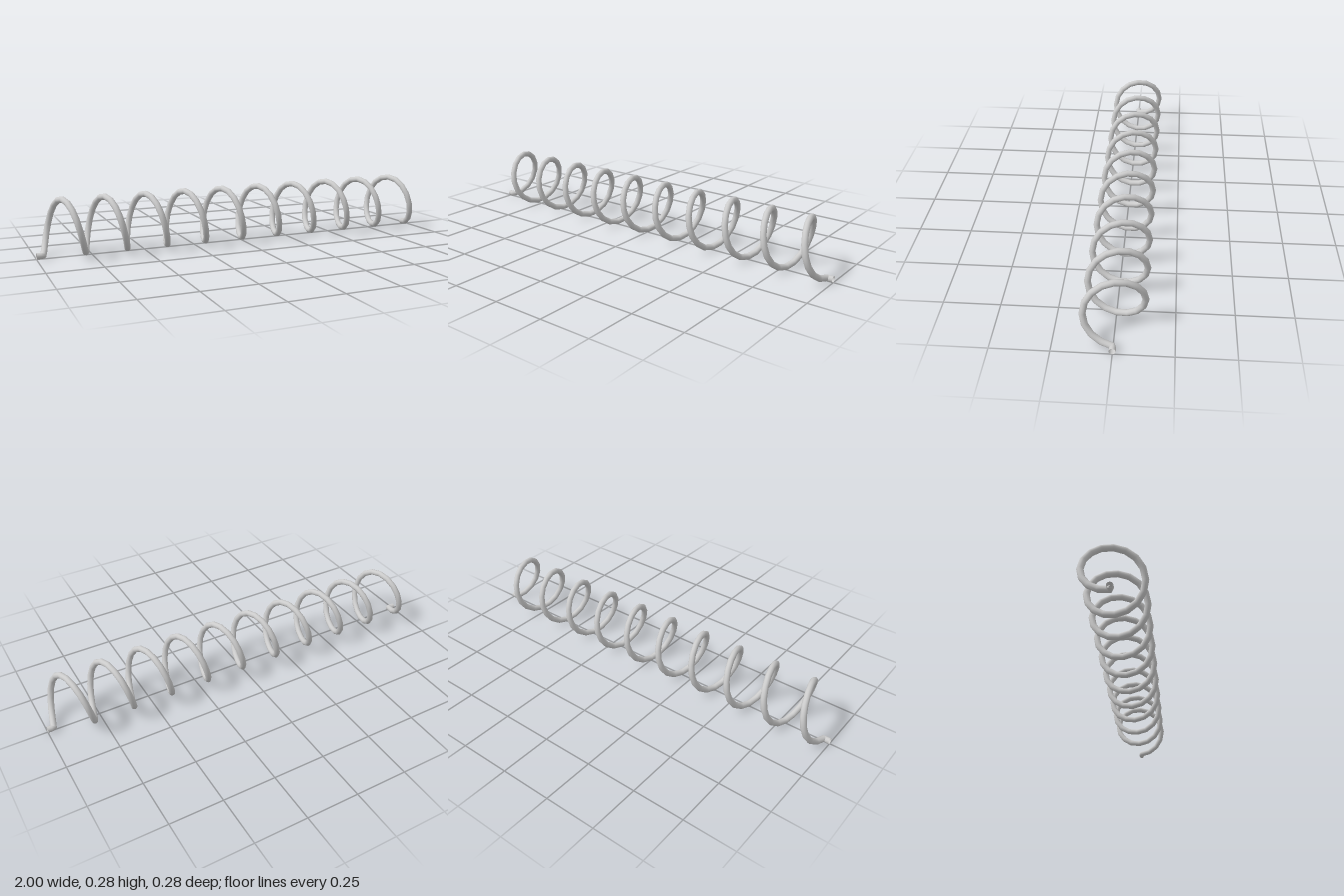
import * as THREE from 'three';

const TURNS = 10, STEPS = 16;            // coil turns and segments per turn
const COIL_R = 0.125, WIRE_R = 0.0145;   // coil and wire radius
const HALF = 0.97, CENTRE_Y = COIL_R + WIRE_R;

// Polyline path: short straight lead, helix along x, short straight lead
function wirePoints() {
  const pts = [new THREE.Vector3(-1, WIRE_R, 0), new THREE.Vector3(-0.98, WIRE_R, 0)];
  const n = TURNS * STEPS;
  for (let i = 0; i <= n; i++) {
    const a = (i / STEPS) * Math.PI * 2;
    pts.push(new THREE.Vector3(
      -HALF + (2 * HALF * i) / n,
      CENTRE_Y - COIL_R * Math.cos(a),
      -COIL_R * Math.sin(a)));
  }
  pts.push(new THREE.Vector3(0.98, WIRE_R, 0), new THREE.Vector3(1, WIRE_R, 0));
  return pts;
}

// Curve whose even parameter steps land exactly on the path points
class WireCurve extends THREE.Curve {
  constructor(points) {
    super();
    this.points = points;
  }
  getPoint(t, target = new THREE.Vector3()) {
    const last = this.points.length - 1;
    const f = t * last;
    const i = Math.min(Math.floor(f), last - 1);
    return target.lerpVectors(this.points[i], this.points[i + 1], f - i);
  }
  getPointAt(t, target) { return this.getPoint(t, target); }
  getTangentAt(t, target) { return this.getTangent(t, target); }
}

export function createModel() {
  const group = new THREE.Group();
  group.name = 'coilSpring';

  // Coiled wire, open at both ends
  const points = wirePoints();
  const geometry = new THREE.TubeGeometry(new WireCurve(points), points.length - 1, WIRE_R, 12, false);
  const material = new THREE.MeshStandardMaterial({ color: 0xcccccc, side: THREE.DoubleSide });
  const wire = new THREE.Mesh(geometry, material);
  wire.name = 'springWire';
  group.add(wire);

  return group;
}
